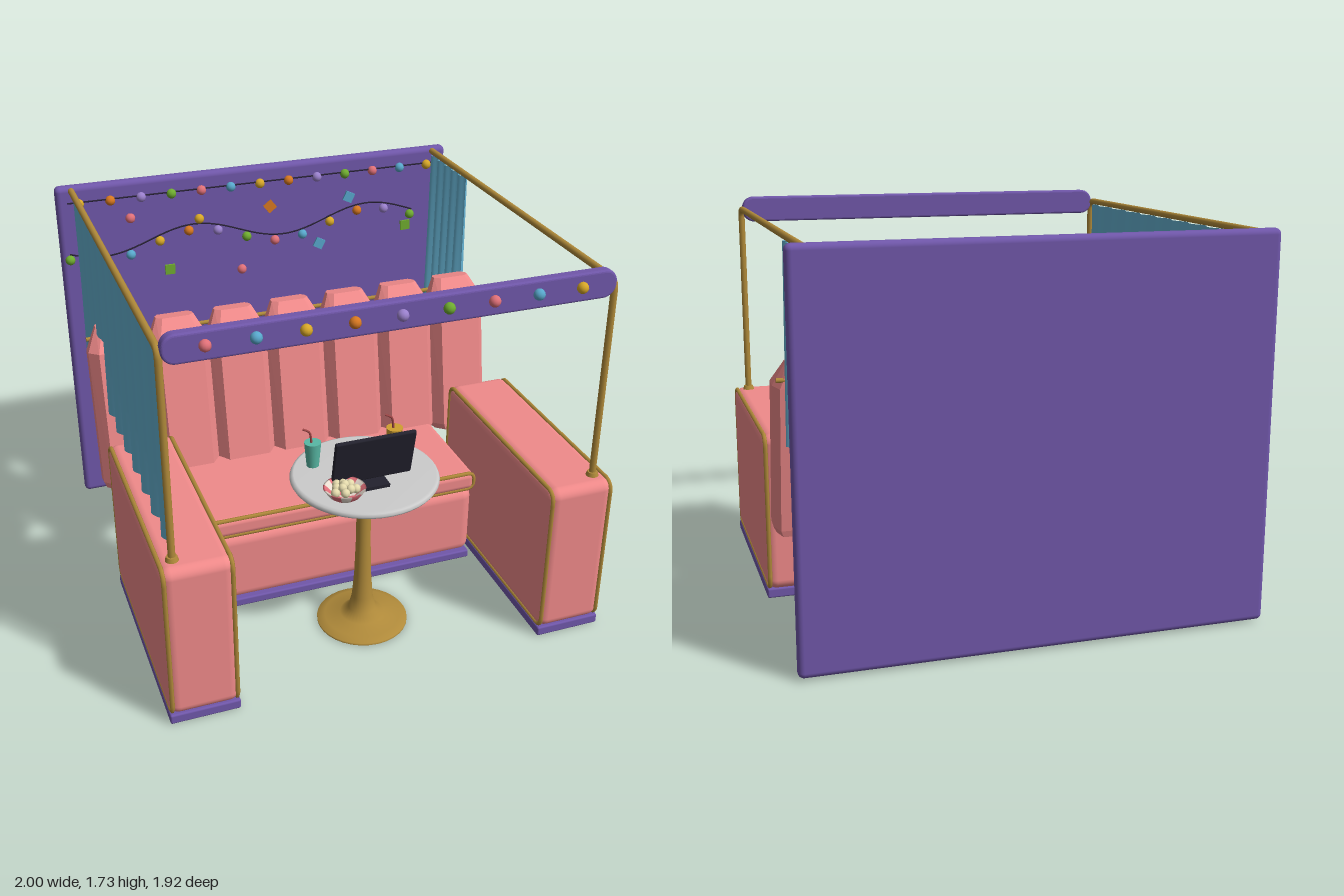
import * as THREE from 'three';
import { RoundedBoxGeometry } from 'three/addons/geometries/RoundedBoxGeometry.js';

const mat = (color, extra = {}) => {
  const m = new THREE.MeshStandardMaterial(extra);
  m.color.set(color);
  return m;
};
const V = (x, y, z) => new THREE.Vector3(x, y, z);

export function createModel() {
  const root = new THREE.Group();
  const fabric = mat(0xf08a8a), panelFabric = mat(0xf08a8a, { flatShading: true });
  const purple = mat(0x7057aa), gold = mat(0xb08a3a, { side: THREE.DoubleSide });
  const dark = mat(0x23222e), wire = mat(0x2a2438);
  const cloth = mat(0x66b2d2, { side: THREE.DoubleSide });
  const tints = [0xe07078, 0x58a8cc, 0xd8a828, 0xd87820, 0x9a80cc, 0x6fac30].map(c => mat(c));

  const add = (name, geo, material, x = 0, y = 0, z = 0, parent = root) => {
    const m = new THREE.Mesh(geo, material);
    m.name = name;
    m.position.set(x, y, z);
    parent.add(m);
    return m;
  };
  // rounded box given by its limits on each axis
  const block = (name, [x0, x1], [y0, y1], [z0, z1], r, material) =>
    add(name, new RoundedBoxGeometry(x1 - x0, y1 - y0, z1 - z0, 4, r), material,
      (x0 + x1) / 2, (y0 + y1) / 2, (z0 + z1) / 2);
  const roundRect = (w, h, r) => {
    const s = new THREE.Shape(), a = w / 2, b = h / 2;
    s.absarc(a - r, b - r, r, 0, Math.PI / 2);
    s.absarc(-a + r, b - r, r, Math.PI / 2, Math.PI);
    s.absarc(-a + r, -b + r, r, Math.PI, Math.PI * 1.5);
    s.absarc(a - r, -b + r, r, Math.PI * 1.5, Math.PI * 2);
    s.closePath();
    return s;
  };
  // closed piping loop around a rounded rectangle; place() maps 2D to 3D
  const piping = (name, w, h, r, place) => {
    const pts = roundRect(w, h, r).getSpacedPoints(120).slice(0, -1).map(p => place(p.x, p.y));
    add(name, new THREE.TubeGeometry(new THREE.CatmullRomCurve3(pts, true), 160, 0.01, 6, true), gold);
  };

  // back wall and front valance
  block('backWall', [-1, 1], [0.01, 1.685], [-0.96, -0.9], 0.025, purple);
  const valance = new THREE.ExtrudeGeometry(roundRect(1.82, 0.1, 0.045),
    { depth: 0.028, bevelThickness: 0.01, bevelSize: 0.01, bevelSegments: 3, curveSegments: 8 });
  add('valance', valance, purple, 0, 1.665, 0.866);

  // armrests, plinths, posts with rails
  for (const s of [-1, 1]) {
    const span = s < 0 ? [-0.99, -0.69] : [0.69, 0.99];
    block('armrest', span, [0.04, 0.76], [-0.085, 0.96], 0.045, fabric);
    block('armrestPlinth', span, [0, 0.045], [-0.07, 0.955], 0.008, purple);
    for (const x of [0.702, 0.978])
      piping('armrestPiping', 1.03, 0.705, 0.04, (a, b) => V(s * x, 0.4 + b, 0.4375 + a));
    const x = 0.925 * s, path = new THREE.CurvePath();
    path.add(new THREE.LineCurve3(V(x, 0.75, 0.88), V(x, 1.625, 0.88)));
    path.add(new THREE.QuadraticBezierCurve3(V(x, 1.625, 0.88), V(x, 1.667, 0.88), V(x, 1.667, 0.84)));
    path.add(new THREE.LineCurve3(V(x, 1.667, 0.84), V(x, 1.667, -0.9)));
    add('postAndRail', new THREE.TubeGeometry(path, 140, 0.015, 10), gold);
    add('postCollar', new THREE.CylinderGeometry(0.022, 0.028, 0.02, 16), gold, x, 0.768, 0.88);
  }

  // pleated curtains; the folds deepen towards the hem
  const curtain = (name, x, z0, z1, period, depth) => {
    const geo = new THREE.PlaneGeometry(z1 - z0, 0.83, Math.round((z1 - z0) / period * 12), 8);
    geo.rotateY(Math.PI / 2);
    const p = geo.attributes.position;
    for (let i = 0; i < p.count; i++) {
      const drop = 0.5 - p.getY(i) / 0.83, z = p.getZ(i);
      p.setX(i, Math.sin(z / period * Math.PI * 2) * depth * (0.55 + 0.45 * drop));
    }
    geo.computeVertexNormals();
    add(name, geo, cloth, x, 1.235, (z0 + z1) / 2);
  };
  curtain('longCurtain', -0.92, -0.89, 0.84, 0.173, 0.024);
  curtain('shortCurtain', 0.925, -0.89, -0.49, 0.08, 0.026);

  // bench
  block('seatBase', [-0.68, 0.68], [0.015, 0.378], [-0.36, 0.275], 0.055, fabric);
  block('seatPlinth', [-0.66, 0.66], [0, 0.04], [0.25, 0.3], 0.008, purple);
  block('seatCushion', [-0.68, 0.68], [0.375, 0.468], [-0.3, 0.28], 0.03, fabric);
  piping('cushionPiping', 1.355, 0.082, 0.025, (a, b) => V(a, 0.421 + b, 0.268));

  // one faceted back panel, lofted from chamfered cross-sections
  const panelGeometry = () => {
    // half-width and depth corners, anticlockwise seen from above
    const outline = [[0.1, 0.085], [0.14, 0.03], [0.14, -0.03], [0.115, -0.085],
      [-0.115, -0.085], [-0.14, -0.03], [-0.14, 0.03], [-0.1, 0.085]];
    // rings: height, width scale, depth scale, depth shift
    const rings = [[0, 0.92, 0.95, 0], [0.03, 1.01, 1, 0], [0.67, 1.01, 0.97, 0], [0.775, 0.64, 0.48, -0.036]];
    const pos = [], idx = [], n = outline.length;
    for (const [y, sx, sz, dz] of rings)
      for (const [x, z] of outline) pos.push(x * sx, y, z * sz + dz);
    for (let r = 0; r < rings.length - 1; r++)
      for (let i = 0; i < n; i++) {
        const a = r * n + i, b = r * n + (i + 1) % n;
        idx.push(a, b, a + n, b, b + n, a + n);
      }
    const top = (rings.length - 1) * n;
    for (let i = 1; i < n - 1; i++) idx.push(0, i + 1, i, top, top + i, top + i + 1);
    const geo = new THREE.BufferGeometry();
    geo.setAttribute('position', new THREE.Float32BufferAttribute(pos, 3));
    geo.setIndex(idx);
    geo.computeVertexNormals();
    return geo;
  };
  const panel = panelGeometry();
  for (let i = -3; i <= 3; i++)
    add('backPanel', panel, panelFabric, i * 0.283, 0.405, -0.3).rotation.x = -0.165;
  add('backBar', new THREE.CylinderGeometry(0.01, 0.01, 1.96, 8).rotateZ(Math.PI / 2), gold, 0, 1.09, -0.487);

  // pedestal table, open under its foot
  const profile = (pts) => pts.map(([x, y]) => new THREE.Vector2(x, y));
  add('tablePedestal', new THREE.LatheGeometry(profile([[0.205, 0], [0.205, 0.01], [0.17, 0.022],
    [0.1, 0.035], [0.062, 0.065], [0.047, 0.13], [0.038, 0.25], [0.032, 0.45], [0.033, 0.7], [0.042, 0.745]]), 32), gold, 0, 0, 0.56);
  add('tableTop', new THREE.LatheGeometry(profile([[0, 0.742], [0.3, 0.742], [0.317, 0.75], [0.323, 0.76],
    [0.317, 0.772], [0.305, 0.777], [0, 0.777]]), 48), mat(0xcccccc), 0, 0, 0.56);

  // display with its screen towards the bench
  const display = new THREE.Group();
  display.name = 'display';
  display.position.set(0, 0.795, 0.633);
  display.rotation.x = 0.22;
  root.add(display);
  add('displayCase', new RoundedBoxGeometry(0.36, 0.23, 0.02, 2, 0.008), dark, 0, 0.115, 0, display);
  add('displayScreen', new THREE.BoxGeometry(0.34, 0.21, 0.004), mat(0xc0357c), 0, 0.115, -0.01, display);
  add('displayFoot', new THREE.BoxGeometry(0.12, 0.016, 0.075), dark, 0, 0.784, 0.665);

  // striped bowl of popcorn
  const stripes = [mat(0xe0707a, { side: THREE.DoubleSide }), mat(0xe8dcd0, { side: THREE.DoubleSide })];
  const bowl = profile([[0, 0.001], [0.045, 0.001], [0.07, 0.02], [0.09, 0.05], [0.082, 0.05], [0.05, 0.02]]);
  for (let i = 0; i < 12; i++)
    add('bowlStripe', new THREE.LatheGeometry(bowl, 3, i * Math.PI / 6, Math.PI / 6), stripes[i % 2], -0.15, 0.777, 0.715);
  const kernel = new THREE.SphereGeometry(0.02, 8, 6), cream = mat(0xe6dcae);
  for (let i = 0; i < 10; i++) {
    const r = 0.017 * Math.sqrt(i), a = i * 2.4;
    add('popcorn', kernel, cream, -0.15 + r * Math.cos(a), 0.84 - r * 0.4, 0.715 + r * Math.sin(a));
  }

  // drinks with bent straws
  const straw = mat(0xa04848);
  for (const [x, color] of [[-0.19, 0x58b8a4], [0.19, 0xd0a030]]) {
    add('drinkGlass', new THREE.CylinderGeometry(0.037, 0.027, 0.115, 20), mat(color), x, 0.835, 0.43);
    const bend = new THREE.CatmullRomCurve3([V(x, 0.8, 0.43), V(x - 0.01, 0.93, 0.43),
      V(x - 0.015, 0.945, 0.43), V(x - 0.045, 0.962, 0.425)]);
    add('straw', new THREE.TubeGeometry(bend, 16, 0.005, 6), straw);
  }

  // string lights and wall decorations
  const bulbGeo = new THREE.SphereGeometry(0.024, 12, 8);
  const bulb = (x, y, z, c) => add('lightBulb', bulbGeo, tints[c % 6], x, y, z);
  const wallZ = -0.896;
  const swag = x => 1.377 + 0.055 * Math.cos(6.9 * (x - 0.57));
  const cord = (f, x0, x1) => {
    const pts = Array.from({ length: 33 }, (_, i) => {
      const x = x0 + (x1 - x0) * i / 32;
      return V(x, f(x), wallZ);
    });
    add('lightCord', new THREE.TubeGeometry(new THREE.CatmullRomCurve3(pts), 80, 0.004, 5), wire);
  };
  cord(() => 1.608, -0.95, 0.95);
  cord(swag, -0.96, 0.82);
  for (let i = 0; i < 9; i++) bulb(-0.76 + i * 0.19, 1.67, 0.912, i);
  for (let i = 0; i < 13; i++) {
    bulb(-0.894 + i * 0.149, 1.6, wallZ, i + 2);
    const x = -0.96 + i * 0.1475;
    bulb(x, swag(x) - 0.03, wallZ, i + 5);
  }
  for (const [x, y, c] of [[-0.655, 1.5, 0], [-0.315, 1.455, 2], [-0.105, 1.16, 0], [-0.74, 1.11, 4]])
    bulb(x, y, wallZ, c);
  const tile = new THREE.BoxGeometry(0.05, 0.05, 0.012);
  for (const [x, y, c, turn] of [[0.05, 1.475, 3, 0.65], [0.47, 1.475, 1, -0.45], [0.31, 1.245, 1, -0.5],
    [-0.475, 1.21, 5, 0], [0.785, 1.285, 5, 0.05]])
    add('wallTile', tile, tints[c], x, y, -0.896).rotation.z = turn;

  return root;
}
